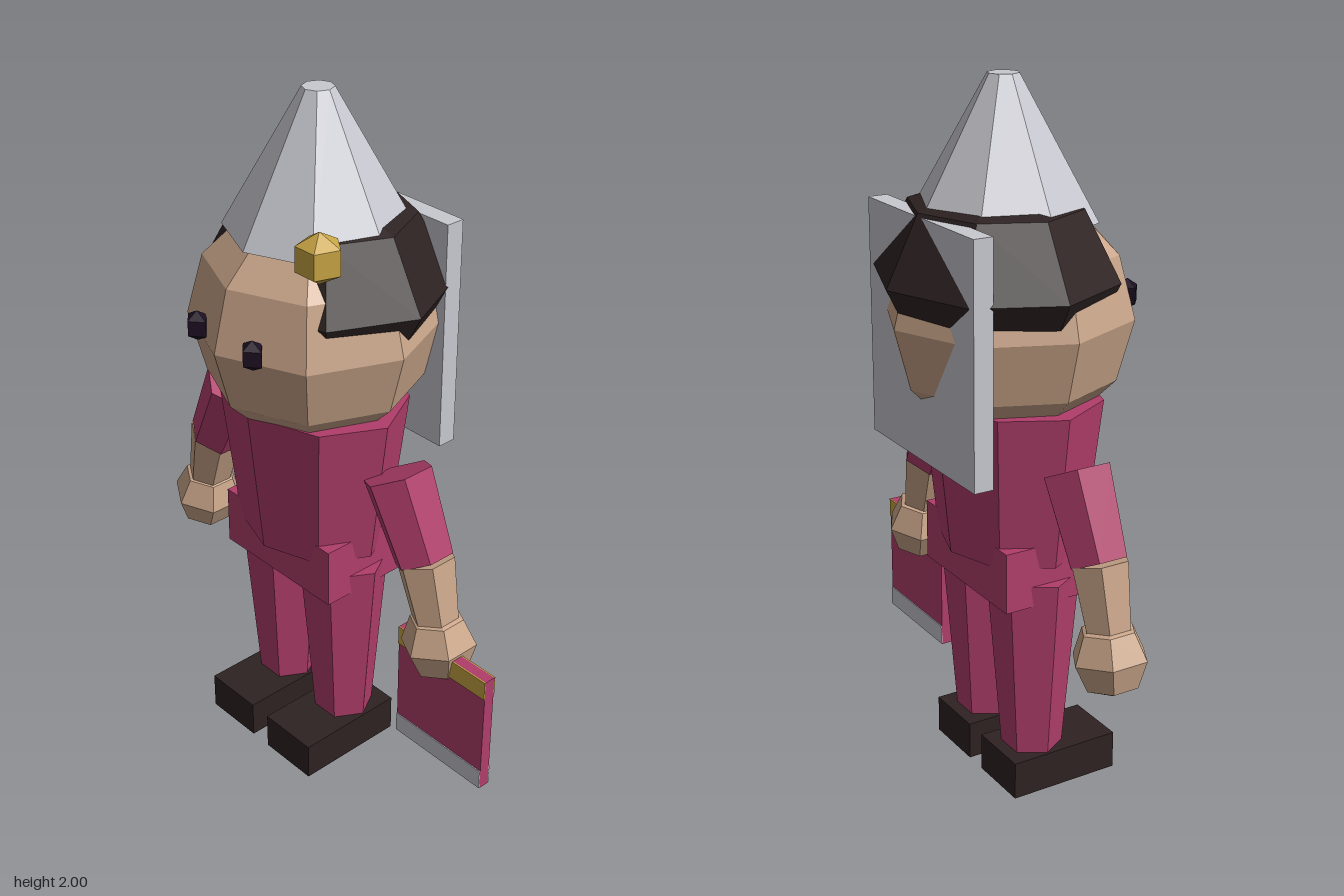
import * as THREE from 'three';

const mat = (name, color) => {
  const m = new THREE.MeshStandardMaterial({ color, flatShading: true });
  m.name = name;
  return m;
};

export function createModel() {
  const skin = mat('skin', 0xc9a589);
  const pink = mat('pink cloth', 0xb13e6b);
  const grey = mat('light grey', 0xc8c8d0);
  const dark = mat('dark brown', 0x2e2222);
  const gold = mat('gold', 0xc9a545);
  const ink = mat('eye black', 0x1e1024);

  const model = new THREE.Group();
  model.name = 'figure';
  const add = (parent, name, geo, material, x, y, z) => {
    const mesh = new THREE.Mesh(geo, material);
    mesh.name = name;
    mesh.position.set(x, y, z);
    parent.add(mesh);
    return mesh;
  };
  const box = (w, h, d) => new THREE.BoxGeometry(w, h, d);

  // Everything but the bag is arranged around this centre line
  const body = new THREE.Group();
  body.name = 'body';
  body.position.x = -0.061;
  model.add(body);

  // Head, hair and hat
  add(body, 'head', new THREE.SphereGeometry(0.345, 8, 6), skin, 0, 1.366, 0.006);
  const hairProfile = [[0, 1.4], [0.885, 1.4], [1, 1.475], [0.707, 1.665], [0, 1.745]]
    .map(([r, y]) => new THREE.Vector2(r, y));
  add(body, 'hair', new THREE.LatheGeometry(hairProfile, 8), dark, 0, 0, -0.035)
    .scale.set(0.362, 1, 0.324);
  add(body, 'hat', new THREE.CylinderGeometry(0.043, 0.257, 0.377, 8), grey, 0, 1.8115, -0.01);
  add(body, 'hatBead', new THREE.SphereGeometry(0.07, 5, 3).rotateY(-Math.PI / 2), gold, 0.243, 1.677, 0.203);

  // Flat panel behind the head
  add(body, 'backPanel', box(0.556, 0.665, 0.056), grey, 0, 1.3225, -0.235);

  // Torso and hips
  add(body, 'torso', new THREE.CylinderGeometry(0.298, 0.24, 0.445, 8), pink, 0, 0.9225, 0.013)
    .scale.z = 0.79;
  add(body, 'hips', box(0.44, 0.175, 0.286), pink, 0, 0.6775, 0.012);

  // Six-sided limb segment between two points
  const limb = (parent, name, a, b, rTop, rBottom, material) => {
    const p = new THREE.Vector3(...a), q = new THREE.Vector3(...b);
    const mid = p.clone().add(q).multiplyScalar(0.5);
    const mesh = add(parent, name, new THREE.CylinderGeometry(rTop, rBottom, p.distanceTo(q), 6),
      material, mid.x, mid.y, mid.z);
    mesh.quaternion.setFromUnitVectors(new THREE.Vector3(0, 1, 0), p.sub(q).normalize());
  };

  for (const [side, s] of [['left', 1], ['right', -1]]) {
    // Eye, leg and shoe
    add(body, side + 'Eye', new THREE.SphereGeometry(0.043, 4, 3), ink, s * 0.113, 1.397, 0.316)
      .scale.z = 0.85;
    add(body, side + 'Leg', new THREE.CylinderGeometry(0.13, 0.087, 0.54, 6).rotateY(Math.PI / 6),
      pink, s * 0.127, 0.38, 0.012);
    add(body, side + 'Shoe', box(0.187, 0.112, 0.335), dark, s * 0.127, 0.056, 0.0675);

    // Arm and hand
    const arm = new THREE.Group();
    arm.name = side + 'Arm';
    body.add(arm);
    limb(arm, 'sleeve', [s * 0.336, 1.02, 0.01], [s * 0.446, 0.8, 0.01], 0.1, 0.085, pink);
    limb(arm, 'forearm', [s * 0.449, 0.805, 0.01], [s * 0.502, 0.61, 0.01], 0.084, 0.064, skin);
    add(arm, 'hand', new THREE.SphereGeometry(0.108, 6, 4).rotateY(Math.PI / 2), skin, s * 0.51, 0.555, 0.008)
      .rotation.z = s * 0.15;
  }

  // Bag in the left hand, with bands on both faces
  const bag = new THREE.Group();
  bag.name = 'bag';
  bag.position.set(0.496, 0, 0.027);
  model.add(bag);
  add(bag, 'bagBody', box(0.33, 0.374, 0.034), pink, 0, 0.371, 0);
  for (const z of [0.018, -0.018]) {
    add(bag, 'topBand', box(0.33, 0.058, 0.004), gold, 0, 0.529, z);
    add(bag, 'bottomBand', box(0.33, 0.06, 0.004), grey, 0, 0.216, z);
  }
  return model;
}
